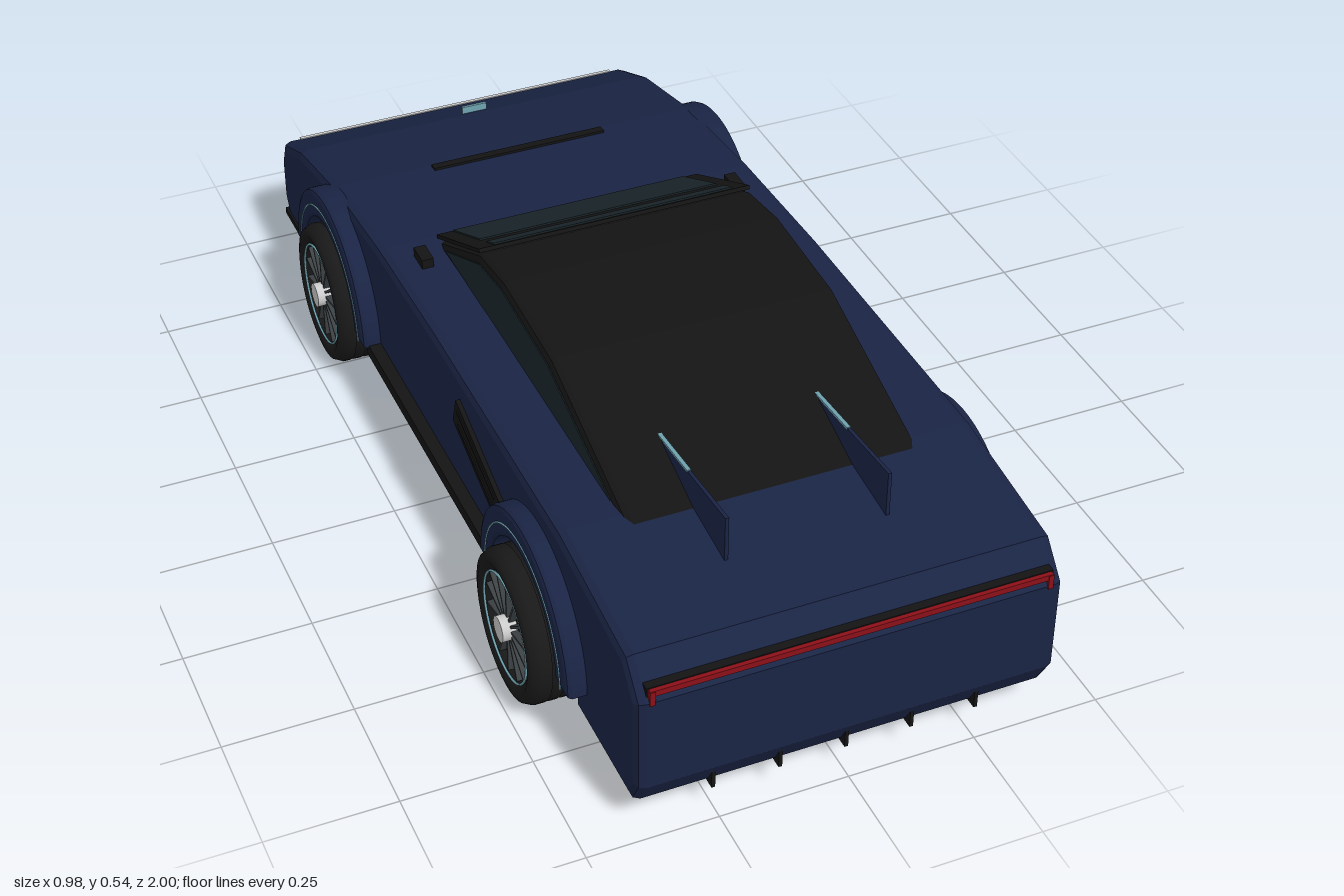
import * as THREE from 'three';

const mat = (color) => new THREE.MeshStandardMaterial({ color });
const paint = mat(0x1a2444), black = mat(0x141414), rubber = mat(0x191919), glass = mat(0x1b272c);
const teal = mat(0x6fa3b0), red = mat(0x8c1018), silver = mat(0xcccccc), rimGrey = mat(0x3c4144);
const AXLE = 0.555, WHEEL_R = 0.148, ARCH_R = 0.157;

function add(parent, name, geometry, material, x = 0, y = 0, z = 0) {
  const mesh = new THREE.Mesh(geometry, material);
  mesh.name = name;
  mesh.position.set(x, y, z);
  parent.add(mesh);
  return mesh;
}
const box = (w, h, d) => new THREE.BoxGeometry(w, h, d);

// Extrude a (z, y) side outline across the car, centred on x = 0
function sideExtrude(shape, width, bevel = 0) {
  const g = new THREE.ExtrudeGeometry(shape, {
    depth: width - 2 * bevel, bevelEnabled: bevel > 0, bevelSize: bevel, bevelThickness: bevel,
    bevelOffset: -bevel, bevelSegments: 2, curveSegments: 24,
  });
  g.translate(0, 0, -(width - 2 * bevel) / 2);
  g.rotateY(-Math.PI / 2);
  return g;
}
const poly = (pts) => new THREE.Shape(pts.map(([z, y]) => new THREE.Vector2(z, y)));

// Half-ring over a wheel, centred on the axle, with optional straight legs
function archShape(outer, inner, leg = 0) {
  const s = new THREE.Shape();
  s.moveTo(outer, -leg);
  s.lineTo(outer, 0);
  s.absarc(0, 0, outer, 0, Math.PI, false);
  s.lineTo(-outer, -leg);
  s.lineTo(-inner, -leg);
  s.lineTo(-inner, 0);
  s.absarc(0, 0, inner, Math.PI, 0, true);
  s.lineTo(inner, -leg);
  return s;
}

function bodyShape() {
  const s = new THREE.Shape();
  s.moveTo(-0.975, 0.07);
  for (const c of [-AXLE, AXLE]) {
    s.lineTo(c - ARCH_R, 0.07);
    s.lineTo(c - ARCH_R, WHEEL_R);
    s.absarc(c, WHEEL_R, ARCH_R, Math.PI, 0, true);
    s.lineTo(c + ARCH_R, 0.07);
  }
  const top = [[0.97, 0.07], [0.997, 0.12], [0.997, 0.315], [0.94, 0.38], [0.64, 0.415], [0, 0.41],
    [-0.32, 0.395], [-0.61, 0.365], [-0.85, 0.31], [-0.98, 0.255], [-1, 0.21], [-1, 0.115]];
  top.forEach(([z, y]) => s.lineTo(z, y));
  return s;
}

// Wheel with its outer face towards +x, centred on its own axle
function makeWheel(width) {
  const wheel = new THREE.Group();
  const h = width / 2, R = WHEEL_R;
  const profile = [[0.108, -h + 0.008], [0.125, -h], [0.14, -h + 0.004], [R, -h + 0.02]];
  for (const g of [-0.022, 0, 0.022]) {
    profile.push([R, g - 0.004], [R - 0.005, g - 0.003], [R - 0.005, g + 0.003], [R, g + 0.004]);
  }
  profile.push([R, h - 0.02], [0.14, h - 0.004], [0.125, h], [0.108, h - 0.008], [0.104, h - 0.025], [0.104, -h + 0.02], [0.108, -h + 0.008]);
  const tyre = new THREE.LatheGeometry(profile.map(([r, y]) => new THREE.Vector2(r, y)), 40);
  add(wheel, 'tyre', tyre.rotateZ(-Math.PI / 2), rubber);
  const cyl = (r, len) => new THREE.CylinderGeometry(r, r, len, 32).rotateZ(Math.PI / 2);
  add(wheel, 'rimDisc', cyl(0.105, width - 0.045), black);
  add(wheel, 'rimRing', new THREE.TorusGeometry(0.106, 0.0025, 6, 48).rotateY(Math.PI / 2), teal, h - 0.006);
  for (let i = 0; i < 14; i++) {
    const a = (i / 14) * Math.PI * 2;
    const spoke = add(wheel, 'spoke', box(0.014, 0.082, 0.005), rimGrey,
      h - 0.016, Math.cos(a) * 0.063, Math.sin(a) * 0.063);
    spoke.rotation.x = a;
  }
  add(wheel, 'hub', cyl(0.025, 0.03), silver, h - 0.008);
  return wheel;
}

export function createModel() {
  const car = new THREE.Group();
  car.name = 'sportsCar';

  // Wedge body and cabin
  add(car, 'body', sideExtrude(bodyShape(), 0.81, 0.018), paint);
  const cabin = poly([[0.72, 0.38], [0.68, 0.408], [0.5, 0.465], [0.31, 0.525], [0.07, 0.538],
    [-0.06, 0.518], [-0.3, 0.395], [-0.3, 0.37]]);
  add(car, 'cabin', sideExtrude(cabin, 0.57, 0.014), black);
  const pane = poly([[0.6, 0.415], [0.3, 0.508], [0.07, 0.52], [-0.05, 0.502], [-0.25, 0.405]]);
  add(car, 'sideGlass', sideExtrude(pane, 0.574), glass);

  // Windshield: sloped frame with a main pane and a narrow upper strip
  const windshield = new THREE.Group();
  windshield.name = 'windshield';
  windshield.position.set(0, 0.463, -0.185);
  windshield.rotation.x = -0.464;
  add(windshield, 'frame', box(0.565, 0.008, 0.28), black);
  add(windshield, 'mainPane', box(0.5, 0.008, 0.18), glass, 0, 0.003, -0.042);
  add(windshield, 'upperStrip', box(0.5, 0.008, 0.042), glass, 0, 0.003, 0.111);
  car.add(windshield);

  // Bonnet slot and small nose accent
  const slot = add(car, 'bonnetSlot', box(0.38, 0.008, 0.022), black, 0, 0.367, -0.595);
  slot.rotation.x = -0.13;
  add(car, 'noseAccent', box(0.055, 0.016, 0.006), teal, 0, 0.312, -0.868);

  // Nose light bar and splitter
  add(car, 'noseLightBar', box(0.73, 0.008, 0.008), silver, 0, 0.256, -0.977);
  add(car, 'splitter', box(0.82, 0.014, 0.15), black, 0, 0.081, -0.905);

  // Tail light with turned-down ends, and diffuser
  add(car, 'tailLight', box(0.76, 0.012, 0.025), red, 0, 0.335, 0.985);
  add(car, 'tailRecess', box(0.77, 0.02, 0.02), black, 0, 0.333, 0.979);
  for (let i = -2; i <= 2; i++) add(car, 'diffuserFin', box(0.007, 0.04, 0.13), black, i * 0.128, 0.08, 0.92);

  for (const side of [-1, 1]) {
    add(car, 'tailLightEnd', box(0.01, 0.03, 0.012), red, side * 0.377, 0.325, 0.993);

    // Rear deck fins with light edges
    const fin = poly([[0.8, 0.39], [0.8, 0.49], [0.54, 0.463], [0.5, 0.44], [0.5, 0.4]]);
    add(car, 'deckFin', sideExtrude(fin, 0.007), paint, side * 0.155);
    const edge = add(car, 'finEdge', box(0.008, 0.004, 0.14), teal, side * 0.155, 0.466, 0.57);
    edge.rotation.x = -0.1;

    // Mirrors, side intake, skirt and light line
    add(car, 'mirror', box(0.024, 0.02, 0.05), black, side * 0.335, 0.41, -0.24);
    const intake = add(car, 'sideIntake', box(0.02, 0.065, 0.24), black, side * 0.404, 0.288, 0.254);
    intake.rotation.x = 0.33;
    for (const dy of [-0.016, 0.016]) {
      const slat = add(car, 'intakeSlat', box(0.024, 0.006, 0.2), rubber, side * 0.404, 0.288 + dy, 0.254);
      slat.rotation.x = 0.33;
    }
    add(car, 'sideSkirt', box(0.045, 0.028, 0.7), black, side * 0.408, 0.14, 0);
    add(car, 'skirtLightLine', box(0.008, 0.007, 0.63), teal, side * 0.405, 0.09, 0);

    // Wheels and flares; the rear pair is a little wider
    for (const end of [-1, 1]) {
      const z = end * AXLE, outer = end > 0 ? 0.481 : 0.468;
      const width = outer - 0.348;
      const wheel = makeWheel(width);
      wheel.name = end > 0 ? 'rearWheel' : 'frontWheel';
      wheel.position.set(side * (outer - width / 2), WHEEL_R, z);
      if (side < 0) wheel.rotation.y = Math.PI;
      car.add(wheel);

      add(car, 'wheelArchFlare', sideExtrude(archShape(0.22, 0.158), 0.06, 0.01), paint, side * 0.413, WHEEL_R + 0.001, z);
      const trim = new THREE.TorusGeometry(0.187, 0.002, 6, 32, Math.PI).rotateY(Math.PI / 2);
      add(car, 'archTrim', trim, teal, side * 0.443, WHEEL_R, z);
    }
  }

  // Dark wheel-well liners and axles
  for (const z of [-AXLE, AXLE]) {
    add(car, 'wheelWellLiner', sideExtrude(archShape(ARCH_R, 0.154, 0.075), 0.76), black, 0, WHEEL_R, z);
  }
  return car;
}
